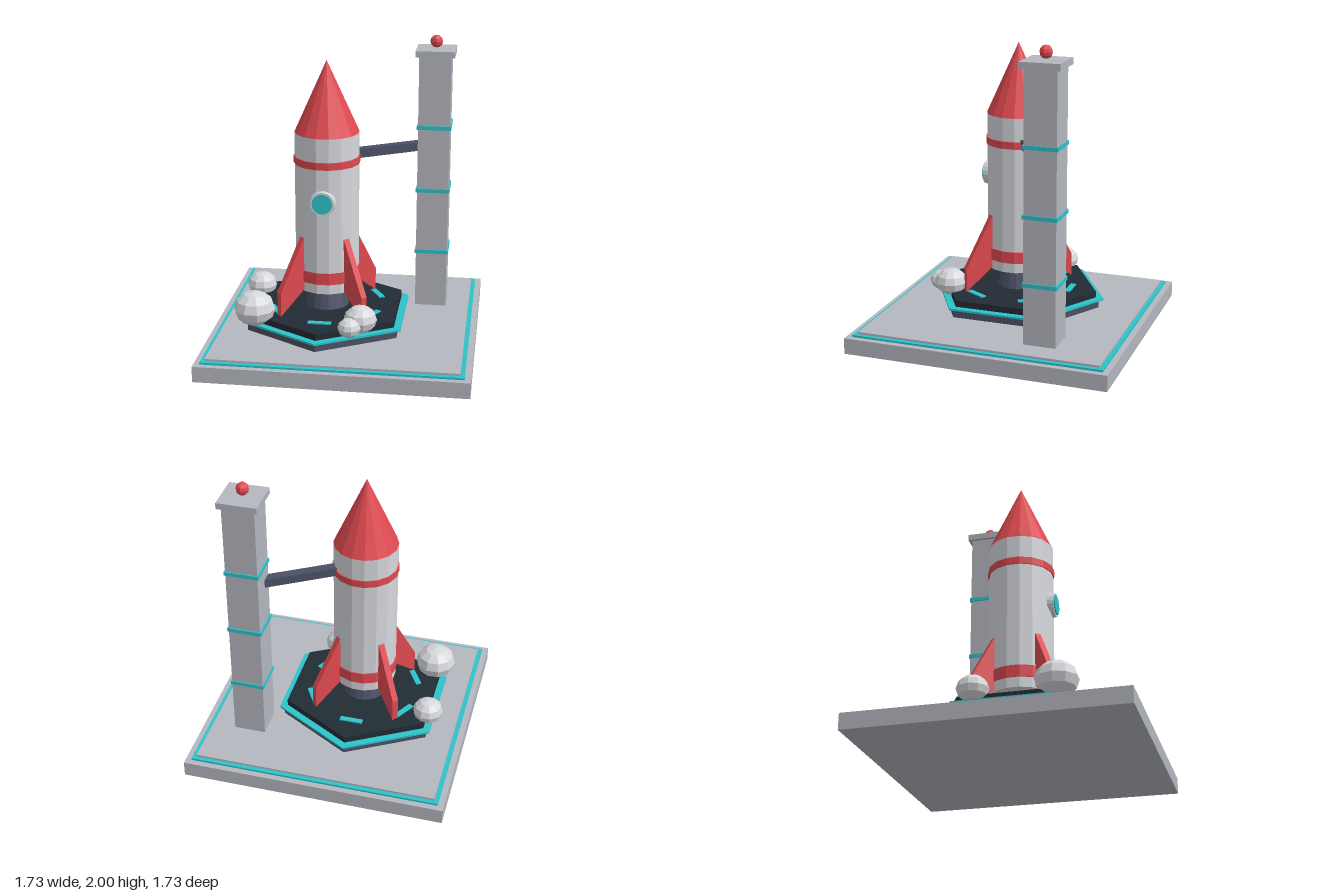
import * as THREE from 'three';

const material = (name, color) => {
  const m = new THREE.MeshStandardMaterial({ color });
  m.name = name;
  return m;
};

export function createModel() {
  const concrete = material('concrete grey', 0xb4b7bf);
  const white = material('hull white', 0xd6d8dc);
  const red = material('signal red', 0xe04a50);
  const teal = material('glow teal', 0x2cc3cb);
  const dark = material('pad dark', 0x222c34);
  const slate = material('slate', 0x4c5064);

  const model = new THREE.Group();

  // Faceted normals for every part
  function add(parent, name, geometry, mat, x = 0, y = 0, z = 0) {
    const flat = geometry.index ? geometry.toNonIndexed() : geometry;
    flat.computeVertexNormals();
    const mesh = new THREE.Mesh(flat, mat);
    mesh.name = name;
    mesh.position.set(x, y, z);
    parent.add(mesh);
    return mesh;
  }
  const group = (name, x, z) => {
    const g = new THREE.Group();
    g.name = name;
    g.position.set(x, 0, z);
    model.add(g);
    return g;
  };
  // Square slab and upright prism, both given by bottom and top height
  const slab = (parent, name, size, y0, y1, mat) =>
    add(parent, name, new THREE.BoxGeometry(size, y1 - y0, size), mat, 0, (y0 + y1) / 2, 0);
  const prism = (parent, name, rBottom, rTop, y0, y1, sides, mat) =>
    add(parent, name, new THREE.CylinderGeometry(rTop, rBottom, y1 - y0, sides), mat, 0, (y0 + y1) / 2, 0);

  // Ground base with a glowing border
  const base = group('base', 0, 0);
  slab(base, 'baseSlab', 1.734, 0, 0.105, concrete);
  slab(base, 'baseBorder', 1.655, 0.105, 0.118, teal);
  slab(base, 'basePlate', 1.6, 0.118, 0.132, concrete);

  // Hexagonal launch pad
  const cx = -0.132, cz = 0.04;
  const pad = group('launchPad', cx, cz);
  prism(pad, 'padFoot', 0.568, 0.568, 0.132, 0.187, 6, slate);
  prism(pad, 'padRim', 0.6, 0.6, 0.187, 0.2, 6, teal);
  prism(pad, 'padTop', 0.547, 0.547, 0.2, 0.243, 6, dark);
  for (let i = 0; i < 6; i++) {
    const a = (i * Math.PI) / 3;
    const light = add(pad, 'padLight', new THREE.BoxGeometry(0.152, 0.009, 0.037), teal,
      0.368 * Math.sin(a), 0.2465, 0.368 * Math.cos(a));
    light.rotation.y = a;
  }

  // Rocket hull, bands, nose and nozzle
  const rocket = group('rocket', cx, cz);
  const turned = (...args) => {
    prism(rocket, ...args).rotation.y = Math.PI / 16;
  };
  turned('nozzle', 0.144, 0.1, 0.243, 0.382, 16, slate);
  turned('hull', 0.21, 0.21, 0.38, 1.43, 16, white);
  turned('lowerBand', 0.217, 0.217, 0.447, 0.525, 16, red);
  turned('upperBand', 0.217, 0.217, 1.227, 1.275, 16, red);
  turned('noseCone', 0.211, 0, 1.43, 1.897, 16, red);

  // Round window
  const porthole = add(rocket, 'windowFrame', new THREE.CylinderGeometry(0.078, 0.085, 0.04, 20), white, 0, 1.007, 0.21);
  porthole.rotation.x = Math.PI / 2;
  const glass = add(rocket, 'windowGlass', new THREE.CylinderGeometry(0.066, 0.066, 0.008, 20), teal, 0, 1.007, 0.234);
  glass.rotation.x = Math.PI / 2;

  // Four swept fins
  const finShape = new THREE.Shape([[0.17, 0.76], [0.2, 0.76], [0.395, 0.4], [0.395, 0.243], [0.2, 0.395], [0.17, 0.395]]
    .map(([r, y]) => new THREE.Vector2(r, y)));
  for (let i = 0; i < 4; i++) {
    const fin = new THREE.ExtrudeGeometry(finShape, { depth: 0.042, bevelEnabled: false });
    fin.translate(0, 0, -0.021);
    add(rocket, 'fin', fin, red).rotation.y = Math.PI / 4 + (i * Math.PI) / 2;
  }

  // Service tower with light bands and a beacon
  const tx = 0.538, tz = -0.366;
  const tower = group('tower', tx, tz);
  slab(tower, 'towerColumn', 0.21, 0.132, 1.87, concrete);
  slab(tower, 'towerCap', 0.258, 1.87, 1.912, concrete);
  for (const y of [0.525, 0.96, 1.395]) slab(tower, 'towerBand', 0.226, y - 0.013, y + 0.013, teal);
  add(tower, 'beacon', new THREE.SphereGeometry(0.042, 8, 6), red, 0, 1.958, 0);

  // Arm linking the rocket to the tower
  const arm = add(rocket, 'serviceArm', new THREE.BoxGeometry(0.53, 0.058, 0.062).translate(0.455, 0, 0), slate, 0, 1.262, 0);
  arm.rotation.y = Math.atan2(cz - tz, tx - cx);

  // Squashed exhaust puffs: x, y, z, radius
  const puffs = [
    [-0.565, 0.31, 0.367, 0.136],
    [-0.614, 0.28, -0.134, 0.101],
    [0.137, 0.297, 0.428, 0.108],
    [0.077, 0.275, 0.524, 0.075],
  ];
  for (const [x, y, z, r] of puffs) {
    add(model, 'smokePuff', new THREE.SphereGeometry(r, 10, 6).scale(1, 0.83, 1), white, x, y, z);
  }

  return model;
}
